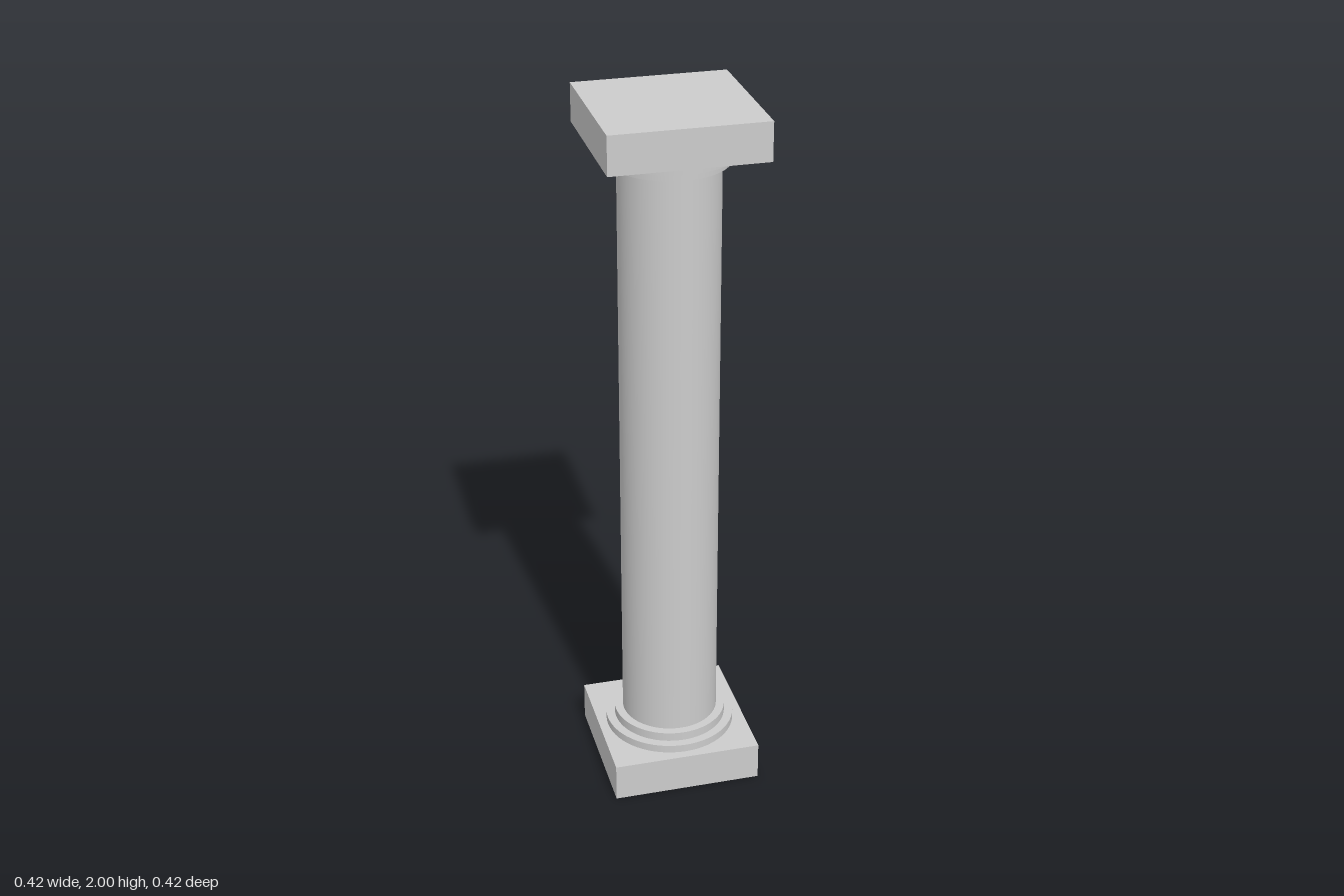
import * as THREE from 'three';

const SEGMENTS = 64;
const SIDE = 0.423;

export function createModel() {
  const column = new THREE.Group();
  column.name = 'column';
  const stone = new THREE.MeshStandardMaterial({ color: 0xcccccc });
  const openStone = new THREE.MeshStandardMaterial({ color: 0xcccccc, side: THREE.DoubleSide });

  const add = (name, geometry, bottom, top, material = stone) => {
    const mesh = new THREE.Mesh(geometry, material);
    mesh.name = name;
    mesh.position.y = (bottom + top) / 2;
    column.add(mesh);
  };
  const disc = (name, radius, bottom, top, open = false) =>
    add(name, new THREE.CylinderGeometry(radius, radius, top - bottom, SEGMENTS, 1, open), bottom, top);

  // Square plinth: a hollow block, open underneath
  const plinth = new THREE.BoxGeometry(SIDE, 0.11, SIDE);
  const faces = Array.from(plinth.index.array);
  faces.splice(18, 6); // drop the bottom face
  plinth.setIndex(faces);
  plinth.clearGroups();
  add('plinth', plinth, 0, 0.11, openStone);

  // Stepped base rings
  disc('lowerBaseRing', 0.186, 0.11, 0.133);
  disc('upperBaseRing', 0.161, 0.133, 0.159);

  // Round shaft
  disc('shaft', 0.137, 0.159, 1.846, true);

  // Stepped capital rings
  disc('lowerCapitalRing', 0.161, 1.846, 1.871);
  disc('upperCapitalRing', 0.186, 1.871, 1.894);

  // Square slab on top
  add('abacus', new THREE.BoxGeometry(SIDE, 0.106, SIDE), 1.894, 2);

  return column;
}
